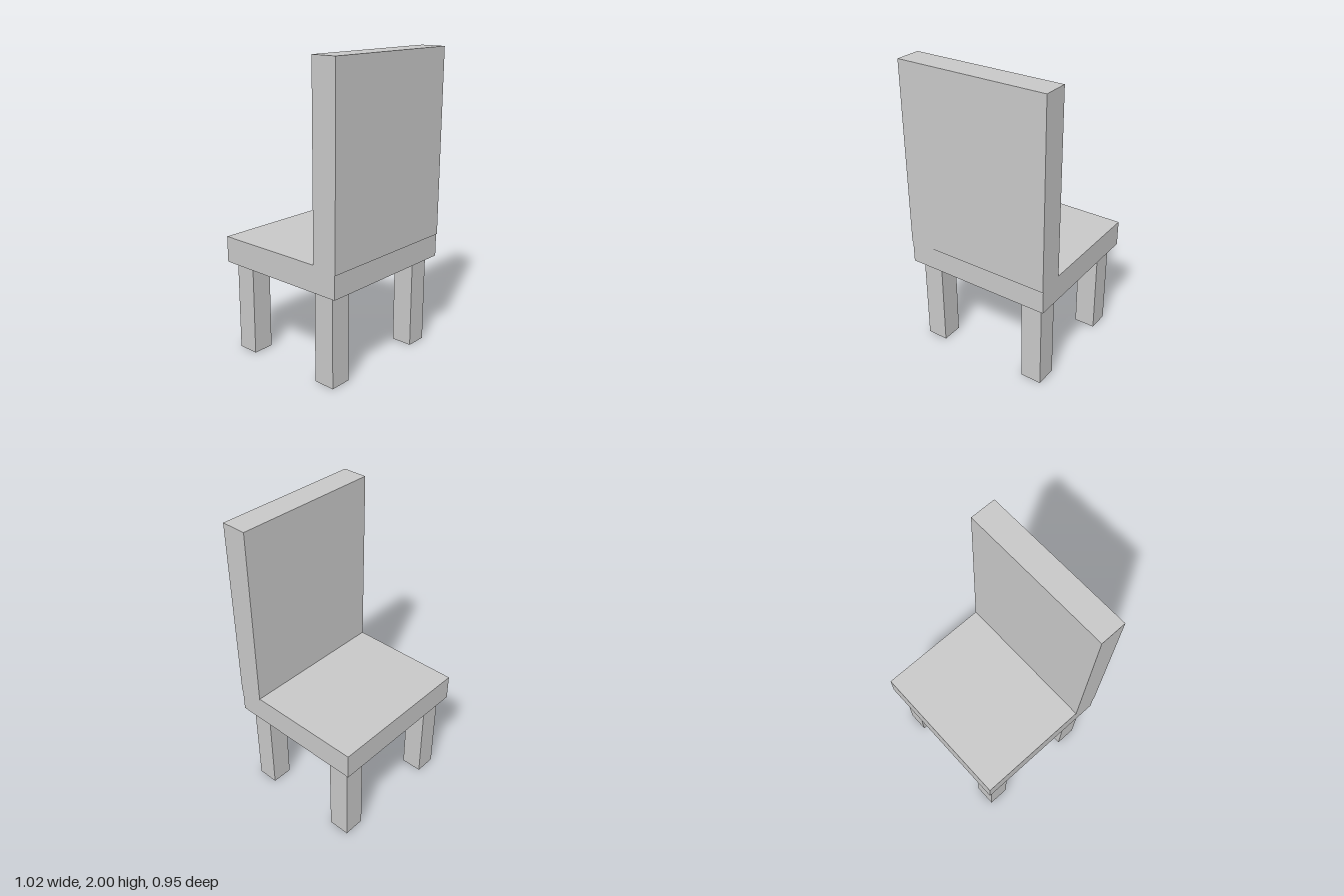
import * as THREE from 'three';

export function createModel() {
  const chair = new THREE.Group();
  chair.name = 'chair';

  const lightGrey = new THREE.MeshStandardMaterial({ color: 0xc7c7c7 });
  lightGrey.name = 'lightGrey';

  // Box given by its extents on each axis
  function box(name, [x0, x1], [y0, y1], [z0, z1]) {
    const mesh = new THREE.Mesh(new THREE.BoxGeometry(x1 - x0, y1 - y0, z1 - z0), lightGrey);
    mesh.position.set((x0 + x1) / 2, (y0 + y1) / 2, (z0 + z1) / 2);
    mesh.name = name;
    chair.add(mesh);
  }

  // Seat slab and the tall panel standing on its +z edge, set slightly proud of it
  box('seat', [-0.507, 0.507], [0.613, 0.788], [-0.476, 0.47]);
  box('backrest', [-0.508, 0.508], [0.767, 2], [0.303, 0.476]);

  // Four square legs, running up into the seat
  for (const [side, x] of [['Right', [-0.465, -0.32]], ['Left', [0.318, 0.463]]]) {
    for (const [end, z] of [['front', [0.273, 0.418]], ['back', [-0.425, -0.28]]]) {
      box(`${end}${side}Leg`, x, [0, 0.63], z);
    }
  }

  return chair;
}
